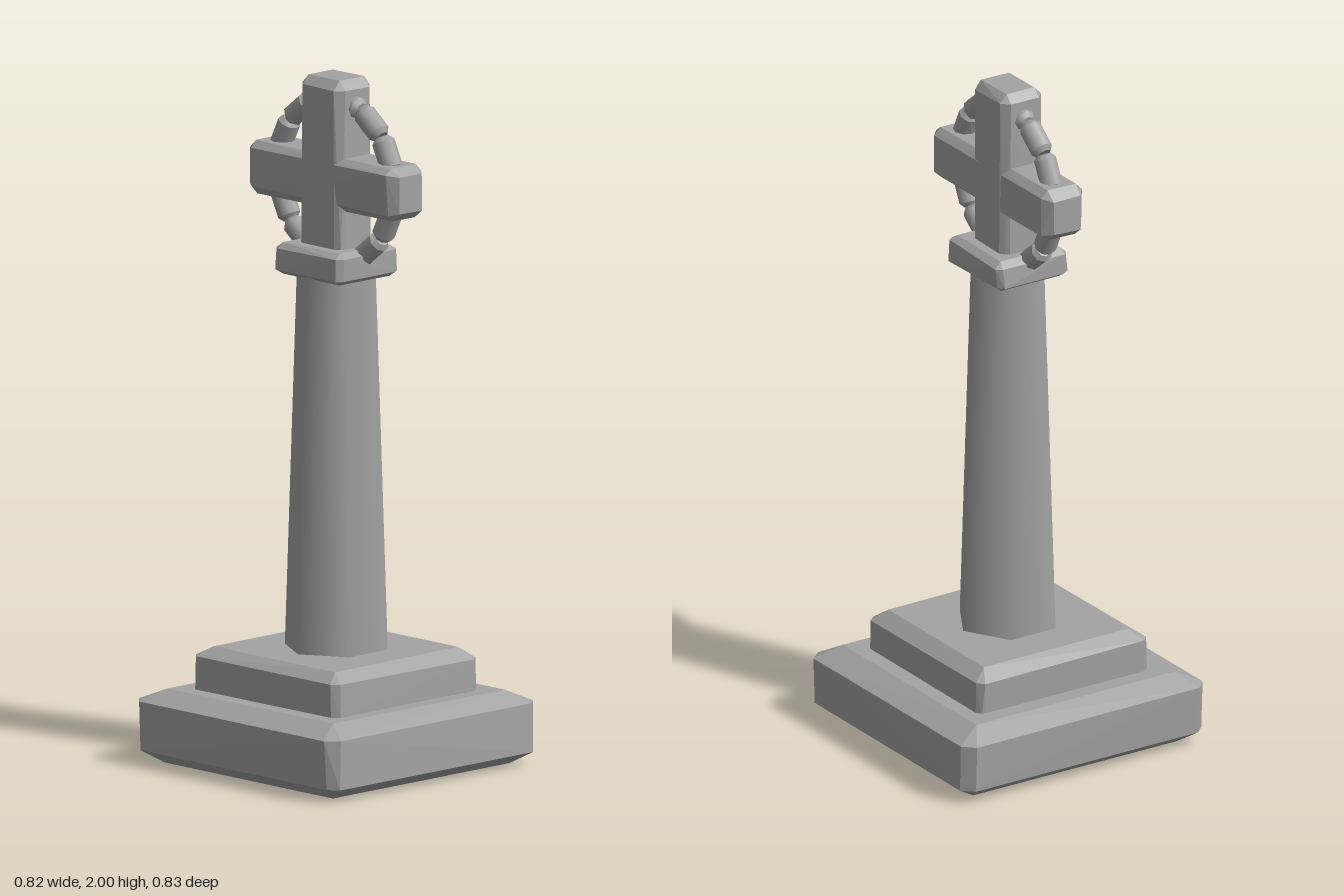
import * as THREE from 'three';
import { ConvexGeometry } from 'three/addons/geometries/ConvexGeometry.js';

// small repeatable wobble for hand-cut stone
let seed = 7;
function wobble(amount) {
  seed = (seed * 16807) % 2147483647;
  return (seed / 2147483647 - 0.5) * 2 * amount;
}

// chamfered block: top/bottom = [inset in plan, height of bevel], corner = upright edge chamfer
function stoneBlock(hx, hz, y0, y1, top, bottom, corner, jitter = 0.003) {
  const points = [];
  for (const sx of [-1, 1]) for (const sz of [-1, 1]) for (const [y, dir, [inset, rise]] of [[y1, -1, top], [y0, 1, bottom]]) {
    const add = (x, yy, z) => points.push(new THREE.Vector3(sx * x + wobble(jitter), yy, sz * z + wobble(jitter)));
    add(hx - inset, y, hz - inset);
    const side = y + dir * rise + wobble(jitter);
    add(hx, side, hz - corner);
    add(hx - corner, side, hz);
  }
  return new ConvexGeometry(points);
}

export function createModel() {
  const model = new THREE.Group();
  model.name = 'stoneCross';
  const stone = new THREE.MeshStandardMaterial({ color: 0xa3a3a3 });
  stone.name = 'grey stone';

  const add = (name, geometry, parent = model) => {
    const mesh = new THREE.Mesh(geometry, stone);
    mesh.name = name;
    parent.add(mesh);
    return mesh;
  };

  // stepped base
  add('lowerStep', stoneBlock(0.408, 0.41, 0, 0.215, [0.07, 0.035], [0.06, 0.04], 0.03, 0.005));
  add('upperStep', stoneBlock(0.292, 0.29, 0.205, 0.338, [0.045, 0.03], [0.008, 0.01], 0.02, 0.004));

  // tapered six-sided shaft with soft shading
  add('shaft', new THREE.CylinderGeometry(0.116, 0.153, 1.14, 6, 1, true)).position.y = 0.88;

  // collar below the cross
  add('collar', stoneBlock(0.137, 0.12, 1.42, 1.512, [0.022, 0.016], [0.022, 0.014], 0.016));

  // cross
  const cross = new THREE.Group();
  cross.name = 'cross';
  model.add(cross);
  add('crossUpright', stoneBlock(0.086, 0.07, 1.49, 2, [0.022, 0.025], [0.008, 0.01], 0.022), cross);
  const arm = stoneBlock(0.076, 0.068, -0.306, 0.306, [0.024, 0.03], [0.024, 0.03], 0.02);
  arm.rotateZ(Math.PI / 2);
  add('crossArm', arm, cross).position.y = 1.7;

  // ring made of short stones with tapered ends
  const ring = new THREE.Group();
  ring.name = 'ring';
  ring.position.y = 1.7;
  cross.add(ring);
  const count = 14, radius = 0.235;
  const half = radius * Math.sin(Math.PI / count);
  const profile = [[0, -half], [0.021, -half], [0.033, -half + 0.014], [0.033, half - 0.014], [0.021, half], [0, half]];
  // separate lathes keep the bevel edges sharp while the sides stay smooth
  const bands = profile.slice(1).map((p, i) =>
    new THREE.LatheGeometry([profile[i], p].map(([x, y]) => new THREE.Vector2(x, y)), 8));
  for (let i = 0; i < count; i++) {
    const angle = Math.PI / 2 + (i + 0.5) * 2 * Math.PI / count;
    const piece = new THREE.Group();
    piece.name = 'ringStone';
    piece.position.set(Math.cos(angle) * radius * 0.985, Math.sin(angle) * radius * 0.985, 0);
    piece.rotation.z = angle;
    bands.forEach((band) => add('ringStoneFace', band, piece));
    ring.add(piece);
  }
  return model;
}
